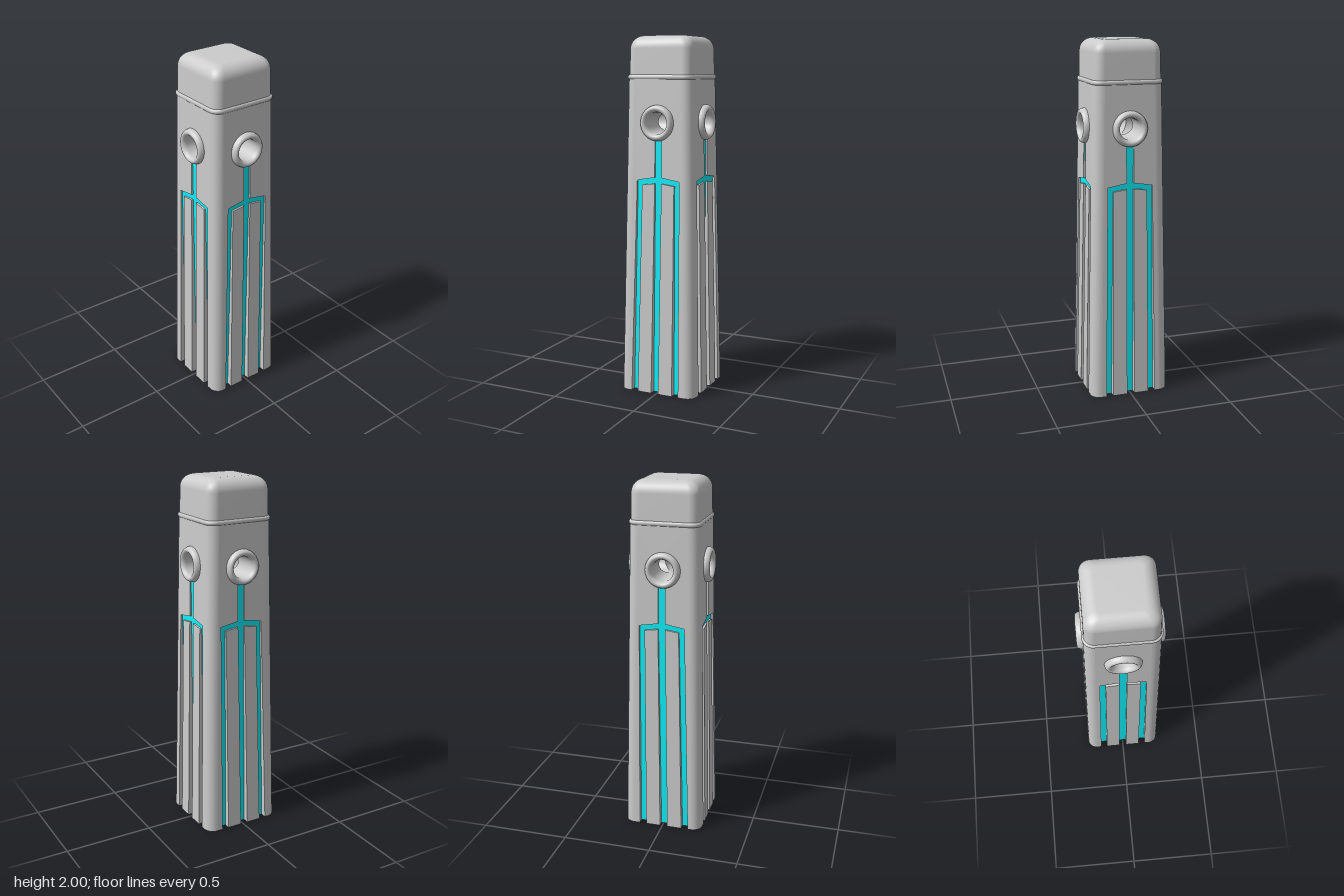
import * as THREE from 'three';

const grey = new THREE.MeshStandardMaterial({ color: 0xcccccc });
const greyDouble = new THREE.MeshStandardMaterial({ color: 0xcccccc, side: THREE.DoubleSide });
const cyan = new THREE.MeshStandardMaterial({ color: 0x10f0fa, side: THREE.DoubleSide });

const BODY_TOP = 1.765, CORNER = 0.055, PANEL = 0.04, FLOOR_Z = 0.193;
const HOLE_Y = 1.53, HOLE_R = 0.06;
const halfWidth = y => 0.228 - 0.0195 * y; // tapering shaft

function add(parent, name, geometry, material = grey) {
  const mesh = new THREE.Mesh(geometry, material);
  mesh.name = name;
  parent.add(mesh);
  return mesh;
}

// Move every vertex of a geometry by a rule
function warp(geometry, rule) {
  const p = geometry.attributes.position, v = new THREE.Vector3();
  for (let i = 0; i < p.count; i++) {
    rule(v.fromBufferAttribute(p, i));
    p.setXYZ(i, v.x, v.y, v.z);
  }
  geometry.computeVertexNormals();
  return geometry;
}

const polygon = points => new THREE.Shape(points.map(([x, y]) => new THREE.Vector2(x, y)));

// Loft through rounded squares given as [half width, corner radius, y]
function loft(sections, steps = 8) {
  const pos = [], index = [], n = 4 * (steps + 1);
  for (const [h, r, y] of sections) {
    for (let q = 0; q < 4; q++) for (let s = 0; s <= steps; s++) {
      const a = (q + s / steps) * Math.PI / 2, m = (q + 0.5) * Math.PI / 2;
      pos.push(Math.sign(Math.cos(m)) * (h - r) + r * Math.cos(a), y,
        Math.sign(Math.sin(m)) * (h - r) + r * Math.sin(a));
    }
  }
  for (let i = 0; i < sections.length - 1; i++) for (let j = 0; j < n; j++) {
    const a = i * n + j, b = i * n + (j + 1) % n;
    index.push(a, a + n, b, b, a + n, b + n);
  }
  const g = new THREE.BufferGeometry();
  g.setAttribute('position', new THREE.Float32BufferAttribute(pos, 3));
  g.setIndex(index);
  g.computeVertexNormals();
  return g;
}

// Slab whose face follows the taper of the shaft
function slab(shape) {
  const g = new THREE.ExtrudeGeometry(shape, { depth: PANEL, bevelEnabled: false, curveSegments: 24 });
  return warp(g, v => { v.z += halfWidth(v.y) - PANEL; });
}

function createSide(lean) {
  const side = new THREE.Group();
  const lo = -0.008 * lean, hi = 0.006 * lean; // sideways drift of the grooves
  const f0 = halfWidth(0) - CORNER, f1 = halfWidth(BODY_TOP) - CORNER;

  // Frame panel with the outer groove outline and the round opening
  const frame = polygon([
    [-f0, 0], [-0.145 + lo, 0], [-0.127 + hi, 1.215], [-0.02 + hi, 1.233], [-0.02 + hi, 1.45],
    [0.02 + hi, 1.45], [0.02 + hi, 1.233], [0.127 + hi, 1.215], [0.145 + lo, 0], [f0, 0],
    [f1, BODY_TOP], [-f1, BODY_TOP],
  ]);
  const hole = new THREE.Path();
  hole.absarc(0, HOLE_Y, HOLE_R + 0.003, 0, Math.PI * 2, true);
  frame.holes.push(hole);
  add(side, 'framePanel', slab(frame));

  // Raised staves between the three grooves
  for (const s of [-1, 1]) {
    add(side, 'stave', slab(polygon([
      [s * 0.022 + lo, 0], [s * 0.106 + lo, 0], [s * 0.096 + hi, 1.19], [s * 0.02 + hi, 1.2],
    ])));
  }

  // Upright coloured floor behind the grooves
  const inlay = new THREE.ShapeGeometry(polygon([
    [-0.15 + lo, 0], [0.15 + lo, 0], [0.13 + hi, 1.22], [0.024 + hi, 1.238], [0.024 + hi, 1.455],
    [-0.024 + hi, 1.455], [-0.024 + hi, 1.238], [-0.13 + hi, 1.22],
  ]));
  add(side, 'grooveInlay', inlay.translate(0, 0, FLOOR_Z), cyan);

  // Rounded corner post
  const post = new THREE.CylinderGeometry(CORNER, CORNER, BODY_TOP, 8, 1, false, 0, Math.PI / 2);
  post.translate(0, BODY_TOP / 2, 0);
  add(side, 'cornerPost', warp(post, v => {
    const d = halfWidth(v.y) - CORNER;
    v.x += d;
    v.z += d;
  }));

  // Tunnel wall, mitred where the two tunnels cross
  const tunnel = new THREE.CylinderGeometry(HOLE_R, HOLE_R, 1, 48, 1, true).rotateX(Math.PI / 2);
  warp(tunnel, v => { v.z = v.z > 0 ? 0.205 : Math.abs(v.x); });
  add(side, 'tunnelWall', tunnel, greyDouble).position.y = HOLE_Y;

  // Ring around the opening
  const ring = add(side, 'openingRing', new THREE.TorusGeometry(0.0785, 0.019, 16, 48));
  ring.scale.z = 1.6;
  ring.position.set(0, HOLE_Y, 0.198);
  return side;
}

export function createModel() {
  const model = new THREE.Group();
  model.name = 'pillar';

  ['front', 'left', 'back', 'right'].forEach((name, i) => {
    const side = createSide([1, 0, -1, 0][i]);
    side.name = name + 'Side';
    side.rotation.y = i * Math.PI / 2;
    model.add(side);
  });

  // Underside
  const base = new THREE.PlaneGeometry(2 * FLOOR_Z, 2 * FLOOR_Z).rotateX(Math.PI / 2);
  add(model, 'base', base);

  // Rounded trim band under the cap
  const band = [];
  for (let i = 0; i <= 8; i++) {
    const a = (i / 8 - 0.5) * Math.PI;
    band.push([0.189 + 0.0095 * Math.cos(a), CORNER, 1.776 + 0.013 * Math.sin(a)]);
  }
  add(model, 'trimBand', loft(band));

  // Cap with softly rounded top edges
  const cap = [[0.191, 0.053, 1.76], [0.187, 0.053, 1.93]];
  for (let i = 1; i <= 8; i++) {
    const a = i / 8 * Math.PI / 2;
    cap.push([0.187 - 0.07 * (1 - Math.cos(a)), 0.053 - 0.03 * (1 - Math.cos(a)), 1.93 + 0.07 * Math.sin(a)]);
  }
  cap.push([0, 0, 2]);
  add(model, 'cap', loft(cap));
  return model;
}
